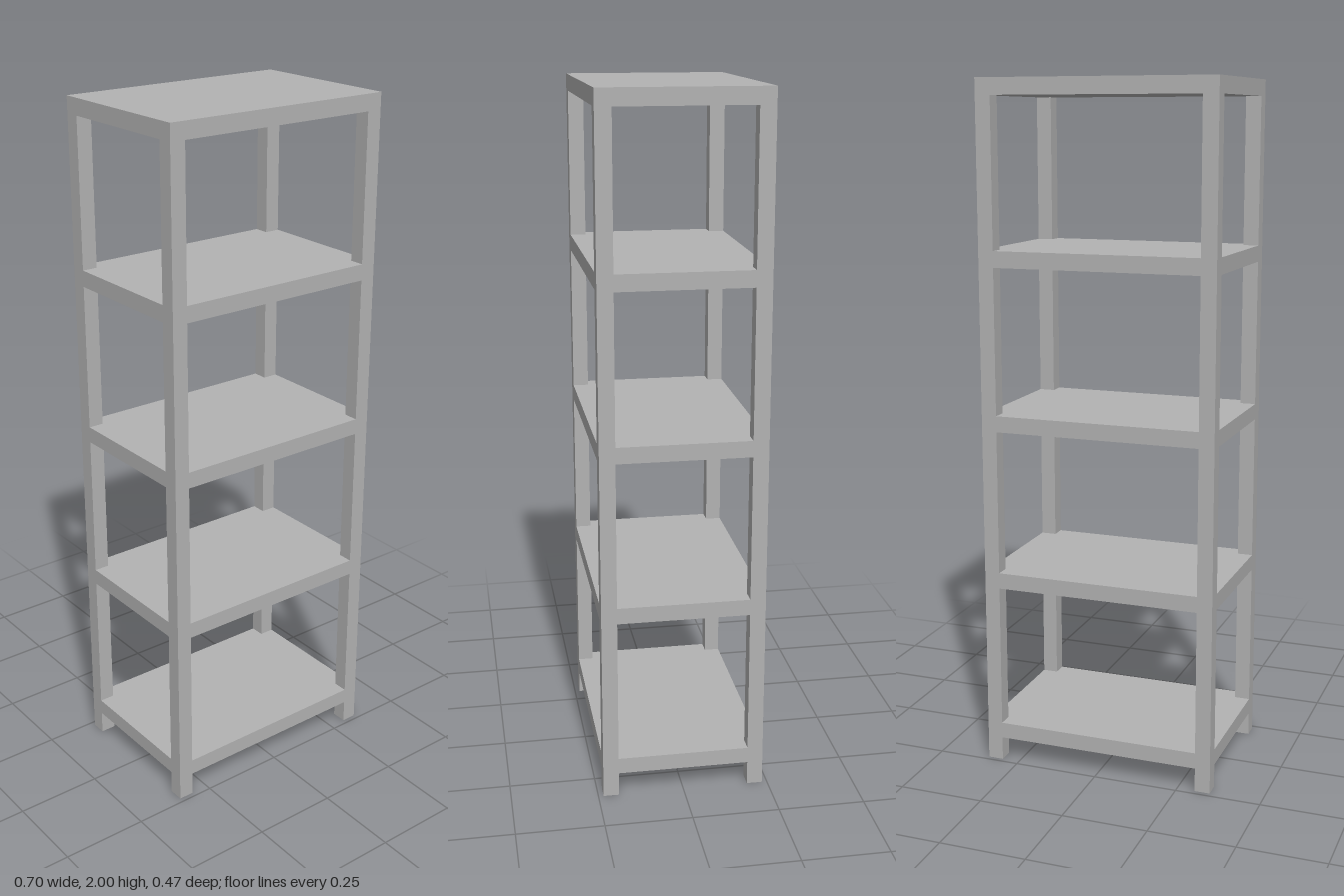
import * as THREE from 'three';

export function createModel() {
  const group = new THREE.Group();
  group.name = 'shelvingUnit';
  const grey = new THREE.MeshStandardMaterial({ color: 0xb2b2b2 });
  grey.name = 'grey';

  const X = 0.348, Z = 0.235, H = 2; // half width, half depth, height
  const post = 0.045, thick = 0.047;
  const lowest = 0.07, count = 5;

  // Four corner posts
  const postGeometry = new THREE.BoxGeometry(post, H, post);
  for (const sx of [-1, 1]) {
    for (const sz of [-1, 1]) {
      const mesh = new THREE.Mesh(postGeometry, grey);
      mesh.name = (sz > 0 ? 'front' : 'back') + (sx > 0 ? 'Left' : 'Right') + 'Post';
      mesh.position.set(sx * (X - post / 2), H / 2, sz * (Z - post / 2));
      group.add(mesh);
    }
  }

  // Shelf board, flush with the posts and notched around them
  const x = X - post, z = Z - post;
  const outline = new THREE.Shape([
    [x, -Z], [x, -z], [X, -z], [X, z], [x, z], [x, Z],
    [-x, Z], [-x, z], [-X, z], [-X, -z], [-x, -z], [-x, -Z],
  ].map(([a, b]) => new THREE.Vector2(a, b)));
  const shelfGeometry = new THREE.ExtrudeGeometry(outline, { depth: thick, bevelEnabled: false });
  shelfGeometry.rotateX(-Math.PI / 2);

  // Evenly spaced shelves, the last one level with the post tops
  for (let i = 0; i < count; i++) {
    const shelf = new THREE.Mesh(shelfGeometry, grey);
    shelf.name = 'shelf' + (i + 1);
    shelf.position.y = lowest + (i * (H - thick - lowest)) / (count - 1);
    group.add(shelf);
  }
  return group;
}
